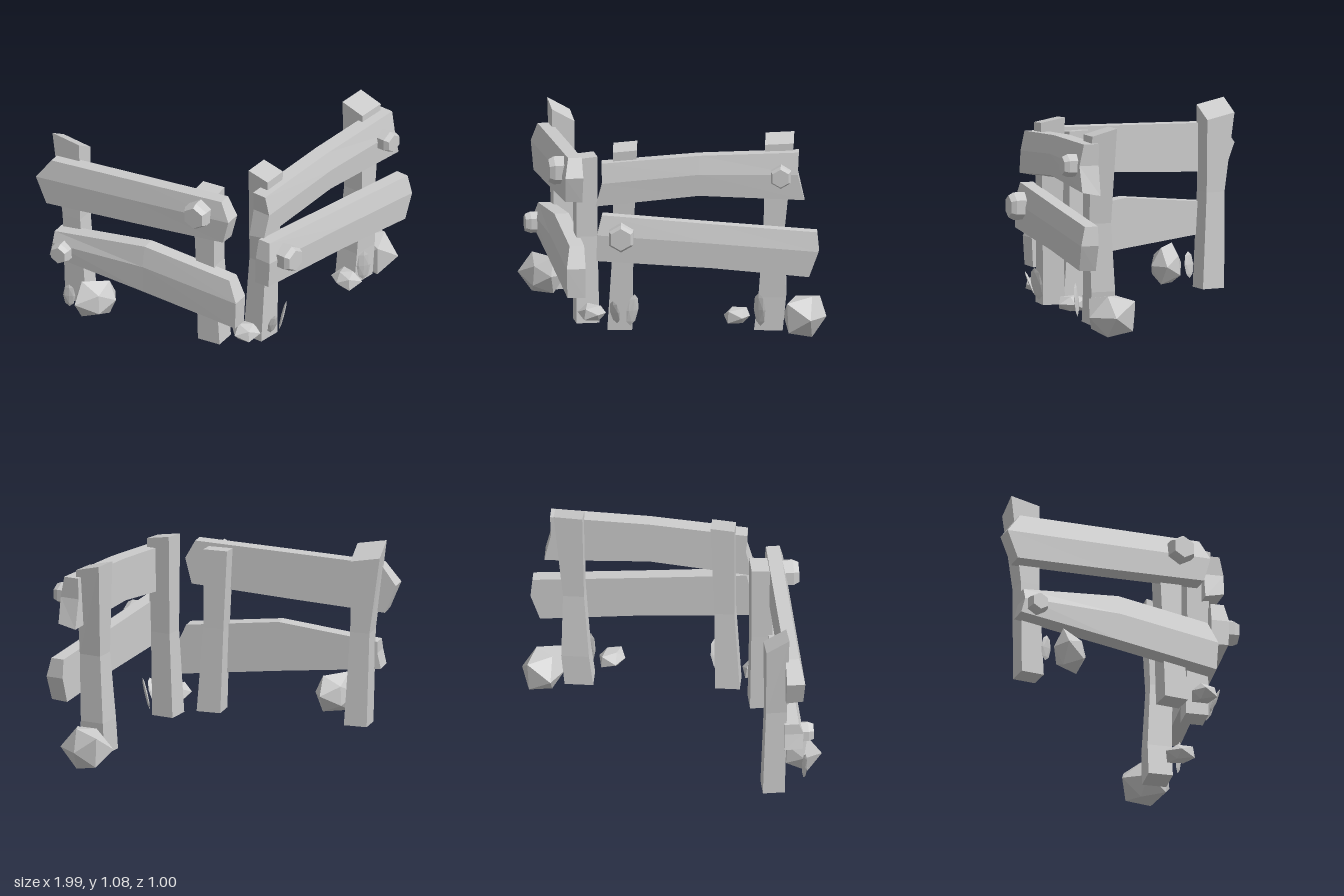
import * as THREE from 'three';

const mat = new THREE.MeshStandardMaterial({ color: 0xcccccc, flatShading: true });

function mesh(geometry, name, parent) {
  const m = new THREE.Mesh(geometry, mat);
  m.name = name;
  parent.add(m);
  return m;
}

// Skin a list of equal-length rings and cap both ends
function loft(rings) {
  const out = [];
  const tri = (...pts) => pts.forEach((p) => out.push(...p));
  const n = rings[0].length;
  for (let r = 0; r < rings.length - 1; r++) {
    const a = rings[r], b = rings[r + 1];
    for (let i = 0; i < n; i++) {
      const j = (i + 1) % n;
      tri(a[i], a[j], b[j]);
      tri(a[i], b[j], b[i]);
    }
  }
  // Caps are strips between opposite sides of the ring
  const first = rings[0], last = rings[rings.length - 1];
  for (let i = 0; i < n / 2 - 1; i++) {
    const j = n - 1 - i;
    tri(first[i], first[j], first[j - 1]);
    tri(first[i], first[j - 1], first[i + 1]);
    tri(last[i], last[i + 1], last[j - 1]);
    tri(last[i], last[j - 1], last[j]);
  }
  const g = new THREE.BufferGeometry();
  g.setAttribute('position', new THREE.Float32BufferAttribute(out, 3));
  g.computeVertexNormals();
  return g;
}

// Plank sections: [along, top, bottom, bulge of the end, slant of the end]
// lift raises the lower front edge
function plank(sections, back, front, lift) {
  return loft(sections.map(([s, top, bot, bulge, slant]) => {
    const mid = bot + (top - bot) * 0.58;
    return [
      [s - slant, top, front - 0.018],
      [s + bulge, mid, front + 0.005],
      [s + slant, bot + lift, front],
      [s + slant, bot, back],
      [s + bulge, mid, back],
      [s - slant, top, back],
    ];
  }));
}

// Post sections: [height, along, out, width, depth, back rise, side rise]
function post(sections) {
  return loft(sections.map(([y, s, n, w, d, rise = 0, side = 0]) =>
    [[1, 1], [1, -1], [-1, -1], [-1, 1]].map(([i, k]) =>
      [s + i * w / 2, y - k * rise + i * side, n + k * d / 2])));
}

// Chamfered hexagonal peg head, one corner up
function bolt(parent, s, y, n, r) {
  const g = new THREE.LatheGeometry([
    new THREE.Vector2(0, -0.03), new THREE.Vector2(r, -0.03), new THREE.Vector2(r, 0.03),
    new THREE.Vector2(r * 0.8, 0.058), new THREE.Vector2(0, 0.058)], 6);
  g.rotateX(Math.PI / 2);
  mesh(g, 'bolt', parent).position.set(s, y, n);
}

// Faceted stone with a repeatable jitter
function rock(parent, pos, size, seed) {
  const g = new THREE.IcosahedronGeometry(1, 0);
  const p = g.attributes.position;
  const v = new THREE.Vector3();
  for (let i = 0; i < p.count; i++) {
    v.fromBufferAttribute(p, i);
    const k = 1.02 + 0.16 * Math.sin(v.x * 5.1 + v.y * 7.3 + v.z * 3.7 + seed);
    p.setXYZ(i, v.x * k * size[0], v.y * k * size[1], v.z * k * size[2]);
  }
  g.computeVertexNormals();
  mesh(g, 'rock', parent).position.set(...pos);
}

// Thin upright leaf, broad side along its local x
function leaf(parent, pos, w, h, turn, lean) {
  const g = new THREE.OctahedronGeometry(1, 1);
  g.scale(w / 2, h / 2, 0.008);
  const m = mesh(g, 'leaf', parent);
  m.position.set(...pos);
  m.rotation.set(lean, turn, 0, 'YXZ');
}

export function createModel() {
  const model = new THREE.Group();
  model.name = 'fence';

  // Panel on the +x side
  const a = new THREE.Group();
  a.name = 'leftPanel';
  a.rotation.y = 0.695;
  model.add(a);
  mesh(plank([[-0.215, 0.945, 0.7, 0.02, -0.015], [0.31, 0.99, 0.76, 0, 0],
    [0.845, 1.01, 0.74, -0.02, 0.015]], 0.3, 0.4, 0.02), 'upperPlank', a);
  mesh(plank([[-0.21, 0.675, 0.43, -0.01, -0.015], [0.38, 0.63, 0.395, 0, 0],
    [0.905, 0.59, 0.35, 0.03, -0.02]], 0.335, 0.425, 0.004), 'lowerPlank', a);
  mesh(post([[0.045, -0.105, 0.27, 0.13, 0.12], [0.5, -0.088, 0.28, 0.105, 0.11],
    [1.015, -0.078, 0.284, 0.125, 0.13, 0.012, 0.006]]), 'innerPost', a);
  mesh(post([[0.045, 0.67, 0.255, 0.15, 0.13], [0.22, 0.69, 0.255, 0.145, 0.13],
    [0.58, 0.7, 0.27, 0.11, 0.12],
    [1.06, 0.728, 0.26, 0.15, 0.135, 0.018, 0.004]]), 'outerPost', a);
  bolt(a, 0.738, 0.89, 0.415, 0.06);
  bolt(a, -0.095, 0.565, 0.445, 0.073);

  // Panel on the -x side
  const b = new THREE.Group();
  b.name = 'rightPanel';
  b.rotation.y = -0.695;
  model.add(b);
  mesh(plank([[-0.87, 0.9, 0.64, -0.07, -0.01], [-0.36, 0.92, 0.67, 0, 0],
    [0.17, 0.94, 0.705, 0.045, 0.01]], 0.34, 0.43, 0.006), 'upperPlank', b);
  mesh(plank([[-0.85, 0.48, 0.335, 0.01, -0.01], [-0.3, 0.54, 0.275, 0, 0],
    [0.23, 0.48, 0.21, 0.03, 0.022]], 0.335, 0.43, 0.004), 'lowerPlank', b);
  mesh(post([[0.045, 0.055, 0.3, 0.13, 0.12], [0.5, 0.03, 0.3, 0.11, 0.11],
    [0.92, 0.02, 0.3, 0.13, 0.11, 0.005]]), 'innerPost', b);
  mesh(post([[0.045, -0.755, 0.282, 0.125, 0.115], [0.55, -0.775, 0.295, 0.105, 0.11],
    [0.982, -0.805, 0.297, 0.16, 0.12, -0.034, -0.015]]), 'outerPost', b);
  bolt(b, 0.04, 0.85, 0.44, 0.075);
  bolt(b, -0.775, 0.39, 0.435, 0.057);

  // Stones around the posts
  rock(model, [0.805, 0.106, -0.365], [0.12, 0.135, 0.13], 1);
  rock(model, [0.61, 0.13, -0.065], [0.075, 0.052, 0.078], 2);
  rock(model, [0, 0.13, 0.38], [0.075, 0.05, 0.075], 3);
  rock(model, [-0.72, 0.16, -0.045], [0.125, 0.105, 0.095], 4);

  // Leaves
  leaf(model, [0.205, 0.16, 0.305], 0.075, 0.18, 1.3, 0.22);
  leaf(model, [0.14, 0.15, 0.37], 0.055, 0.14, 0.3, 0.4);
  leaf(model, [0.71, 0.165, -0.125], 0.075, 0.18, 0.1, 0.08);
  leaf(model, [-0.85, 0.145, -0.12], 0.065, 0.14, -0.4, 0.1);
  return model;
}
